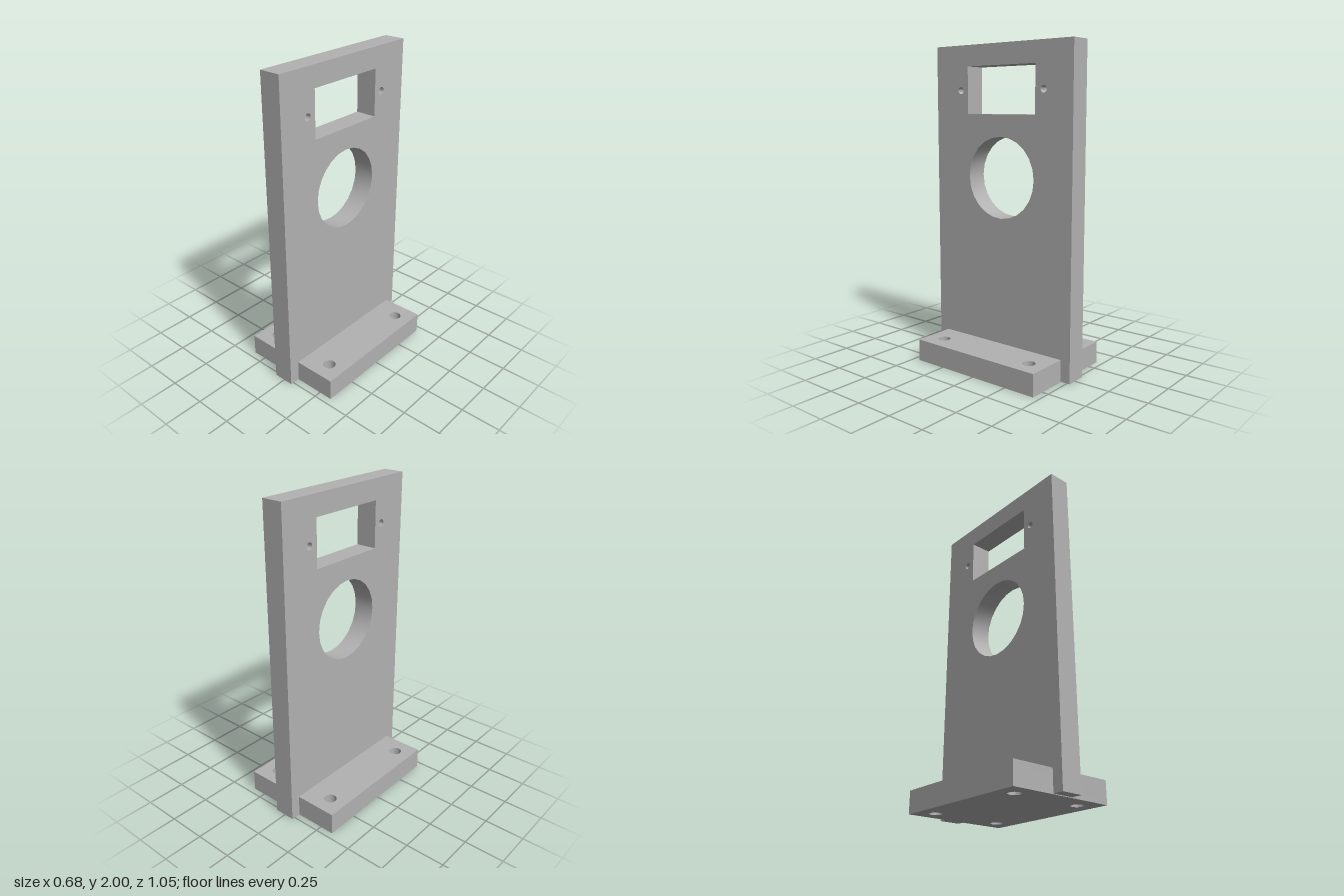
import * as THREE from 'three';
import { toCreasedNormals } from 'three/addons/utils/BufferGeometryUtils.js';

const rect = (target, x0, y0, x1, y1) =>
  target.moveTo(x0, y0).lineTo(x1, y0).lineTo(x1, y1).lineTo(x0, y1).closePath();

const roundHole = (x, y, r) => new THREE.Path().absarc(x, y, r, 0, Math.PI * 2, true);

// Flat plate with holes, smooth inside the bores and sharp at the edges
const plate = (shape, depth) => toCreasedNormals(
  new THREE.ExtrudeGeometry(shape, { depth, bevelEnabled: false, curveSegments: 12 }), 0.6);

export function createModel() {
  const model = new THREE.Group();
  model.name = 'mountingBracket';
  const grey = new THREE.MeshStandardMaterial({ color: 0xb2b2b2 });
  grey.name = 'grey';

  const add = (name, geometry) => {
    const mesh = new THREE.Mesh(geometry, grey);
    mesh.name = name;
    model.add(mesh);
  };

  // Upright panel, drawn in (z, y), with window, large bore and screw holes
  const panel = rect(new THREE.Shape(), -0.523, 0.004, 0.523, 2);
  panel.holes.push(
    rect(new THREE.Path(), -0.26, 1.577, 0.262, 1.87),
    roundHole(0, 1.19, 0.252),
    ...[-0.32, 0.32].map((z) => roundHole(z, 1.723, 0.022)),
  );
  add('uprightPanel', plate(panel, 0.135).rotateY(-Math.PI / 2).translate(0.066, 0, 0));

  // Base plate, drawn in (x, -z), with four bolt holes
  const base = rect(new THREE.Shape(), -0.341, -0.455, 0.339, 0.459);
  for (const x of [-0.23, 0.227])
    for (const y of [-0.34, 0.345]) base.holes.push(roundHole(x, y, 0.039));
  add('basePlate', plate(base, 0.138).rotateX(-Math.PI / 2));

  return model;
}
